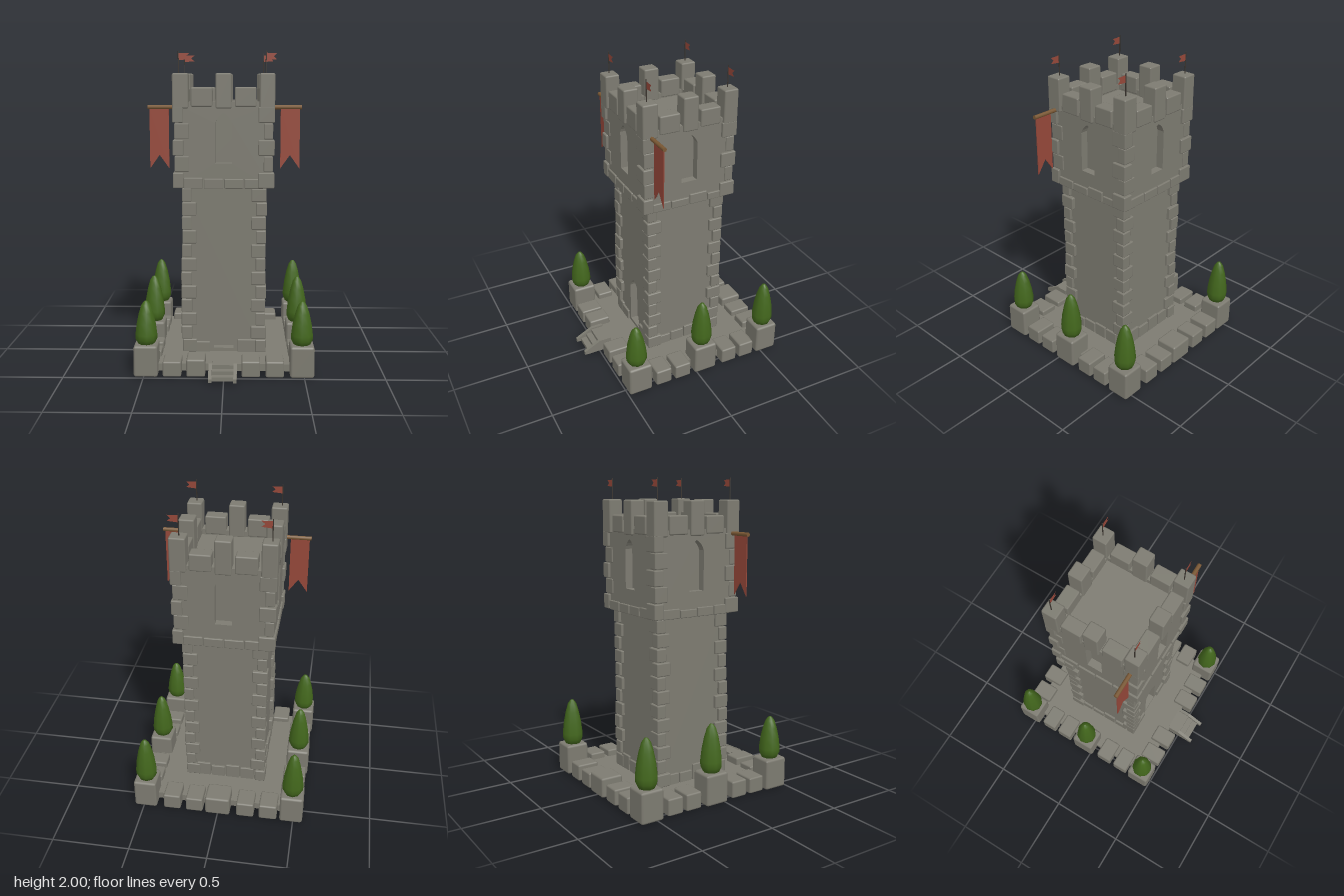
import * as THREE from 'three';
import { RoundedBoxGeometry } from 'three/addons/geometries/RoundedBoxGeometry.js';

const mat = (name, color, side = THREE.FrontSide) => {
  const m = new THREE.MeshStandardMaterial({ color, side });
  m.name = name;
  return m;
};

export function createModel() {
  const stone = mat('stone', 0x7d7b71);
  const leaf = mat('leaf', 0x42661c);
  const cloth = mat('cloth', 0x96483a, THREE.DoubleSide);
  const wood = mat('wood', 0x7a5834);
  const iron = mat('iron', 0x3a342e);

  const model = new THREE.Group();
  model.name = 'castleTower';
  const CX = -0.006, CZ = -0.053; // tower axis

  let seed = 7;
  const jitter = (a) => {
    seed = (seed * 16807) % 2147483647;
    return (seed / 2147483647 - 0.5) * 2 * a;
  };

  const add = (parent, name, geo, material, x = 0, y = 0, z = 0) => {
    const mesh = new THREE.Mesh(geo, material);
    mesh.name = name;
    mesh.position.set(x, y, z);
    parent.add(mesh);
    return mesh;
  };
  const group = (name, parent = model) => {
    const g = new THREE.Group();
    g.name = name;
    parent.add(g);
    return g;
  };
  // Worn stone block given by its limits
  const block = (parent, name, x0, x1, y0, y1, z0, z1) => {
    const w = x1 - x0, h = y1 - y0, d = z1 - z0;
    const geo = new RoundedBoxGeometry(w, h, d, 1, Math.min(w, h, d) * 0.1);
    return add(parent, name, geo, stone, (x0 + x1) / 2, (y0 + y1) / 2, (z0 + z1) / 2);
  };
  const box = (parent, name, x0, x1, y0, y1, z0, z1) =>
    add(parent, name, new THREE.BoxGeometry(x1 - x0, y1 - y0, z1 - z0), stone,
      (x0 + x1) / 2, (y0 + y1) / 2, (z0 + z1) / 2);

  // Base slab with its border of stones and pillars
  const base = group('base');
  box(base, 'baseSlab', -0.485, 0.49, 0.022, 0.068, -0.545, 0.425);
  for (const [x0, x1] of [[-0.38, -0.265], [-0.233, -0.116], [0.11, 0.225], [0.26, 0.373]])
    block(base, 'frontStone', x0, x1, 0.005, 0.11 + jitter(0.008), 0.345, 0.493);
  for (const [x0, x1] of [[-0.392, -0.275], [-0.24, -0.125], [0.1, 0.213], [0.25, 0.363]])
    block(base, 'backStone', x0, x1, 0.005, 0.11 + jitter(0.008), -0.615, -0.47);
  block(base, 'backMiddleStone', -0.08, 0.083, 0, 0.13, -0.617, -0.468);
  for (const [z0, z1] of [[-0.423, -0.316], [-0.29, -0.18], [0.06, 0.172], [0.2, 0.31]]) {
    block(base, 'rightStone', -0.552, -0.403, 0.005, 0.11 + jitter(0.008), z0, z1);
    block(base, 'leftStone', 0.412, 0.559, 0.005, 0.11 + jitter(0.008), z0 - 0.01, z1 - 0.01);
  }
  // Pillars topped with clipped trees
  const treeProfile = [[0, 0], [0.052, 0], [0.068, 0.035], [0.069, 0.07], [0.06, 0.15],
    [0.045, 0.225], [0.029, 0.28], [0.012, 0.305], [0, 0.31]].map(([r, y]) => new THREE.Vector2(r, y));
  for (const [z0, z1, h] of [[-0.615, -0.46, 0.31], [-0.143, 0.017, 0.31], [0.332, 0.492, 0.275]])
    for (const s of [-1, 1]) {
      const x = s * 0.486;
      block(base, 'pillar', x - 0.075, x + 0.075, 0, 0.2, z0, z1);
      const tree = add(base, 'tree', new THREE.LatheGeometry(treeProfile, 9), leaf, x, 0.198, (z0 + z1) / 2);
      tree.scale.y = h / 0.31;
      tree.rotation.y = jitter(1);
    }

  // Entrance stairs with sloping cheeks
  const stairs = group('stairs');
  for (let i = 0; i < 3; i++)
    box(stairs, 'step', -0.076, 0.064, 0.018, 0.09 - i * 0.024, 0.415, 0.505 + i * 0.04);
  const cheek = new THREE.Shape([[0.42, 0.018], [0.613, 0.018], [0.613, 0.042], [0.5, 0.1], [0.42, 0.1]]
    .map(([a, b]) => new THREE.Vector2(a, b)));
  for (const x of [-0.072, 0.081]) {
    const geo = new THREE.ExtrudeGeometry(cheek, { depth: 0.021, bevelEnabled: false });
    add(stairs, 'cheek', geo, stone, x).rotation.y = -Math.PI / 2;
    stairs.children.at(-1).position.x = x;
    geo.scale(1, 1, 1);
  }

  // Wall panel, optionally pierced by a pointed opening
  const panel = (half, y0, y1, opening, depth) => {
    const shape = new THREE.Shape([[-half, y0], [half, y0], [half, y1], [-half, y1]]
      .map(([a, b]) => new THREE.Vector2(a, b)));
    if (opening) {
      const [w, b, spring, peak] = opening;
      const hole = new THREE.Path();
      hole.moveTo(-w, b).lineTo(-w, spring);
      hole.quadraticCurveTo(-w * 0.75, (spring + peak) / 2 + 0.01, 0, peak);
      hole.quadraticCurveTo(w * 0.75, (spring + peak) / 2 + 0.01, w, spring);
      hole.lineTo(w, b);
      hole.closePath();
      shape.holes.push(hole);
    }
    return new THREE.ExtrudeGeometry(shape, { depth, bevelEnabled: false, curveSegments: 4 });
  };

  const tower = group('tower');
  tower.position.set(CX, 0, CZ);
  box(tower, 'shaftCore', -0.2, 0.2, 0.05, 1.16, -0.2, 0.2);
  box(tower, 'upperCore', -0.25, 0.25, 1.155, 1.655, -0.25, 0.25);

  for (let side = 0; side < 4; side++) {
    const face = group('towerSide', tower);
    face.rotation.y = side * Math.PI / 2;
    const front = side === 0;

    // Walls with door and windows
    add(face, 'shaftWall', panel(0.25, 0.06, 1.16, front && [0.065, 0.09, 0.38, 0.455], 0.05), stone, 0, 0, 0.2);
    add(face, 'upperWall', panel(0.3, 1.157, 1.68, [0.053, 1.31, 1.56, 1.625], 0.05), stone, 0, 0, 0.25);

    // Stones along the foot of the shaft
    for (const x of [-0.15, -0.05, 0.05, 0.15]) {
      if (front && Math.abs(x) < 0.1) continue;
      const w = front ? 0.06 : 0.046;
      block(face, 'footStone', x - w, x + w, 0.06, 0.15 + jitter(0.02), 0.22, 0.264);
    }
    // Stones under the upper storey
    for (let i = 0; i < 4; i++) {
      const x = -0.19 + i * 0.127;
      block(face, 'corbelStone', x - 0.06, x + 0.06, 1.152, 1.21 + jitter(0.012), 0.26, 0.312);
    }

    // Alternating corner stones of the shaft
    const rows = 12, step = 1.085 / rows;
    for (let i = 0; i < rows; i++) {
      const y = 0.065 + i * step, o = 0.27 + jitter(0.005);
      const a = i % 2 ? 0.175 : 0.205, b = i % 2 ? 0.205 : 0.175;
      block(face, 'shaftCornerStone', a, o, y + 0.003, y + step - 0.003, b, o);
    }
    // Alternating corner stones of the upper storey
    for (let i = 0; i < 5; i++) {
      const y = 1.152 + i * 0.102, o = 0.315 + (i % 2 ? -0.008 : 0.002);
      const a = i % 2 ? 0.25 : 0.215, b = i % 2 ? 0.215 : 0.25;
      block(face, 'upperCornerStone', a, o, y + 0.003, y + 0.1, b, o);
    }

    // Battlements
    block(face, 'cornerMerlon', 0.222, 0.317, 1.65, 1.865, 0.217, 0.317);
    block(face, 'middleMerlon', -0.05, 0.05, 1.65, 1.865, 0.218, 0.315);
    for (const s of [-1, 1]) {
      block(face, 'lowMerlon', s * 0.136 - 0.067, s * 0.136 + 0.067, 1.66, 1.775 + jitter(0.008), 0.22, 0.31);
    }
    box(face, 'parapet', -0.29, 0.29, 1.65, 1.69, 0.225, 0.3);
  }

  // Swallow-tailed pennants on the four corners
  const pennant = new THREE.Shape([[0, 0], [0.066, 0.006], [0.046, 0.024], [0.066, 0.043], [0, 0.045]]
    .map(([a, b]) => new THREE.Vector2(a, b)));
  for (const x of [-0.285, 0.255])
    for (const z of [-0.322, 0.214]) {
      const g = group('cornerFlag');
      add(g, 'flagPole', new THREE.CylinderGeometry(0.0035, 0.0035, 0.16, 6), iron, x, 1.92, z);
      add(g, 'pennant', new THREE.ShapeGeometry(pennant), cloth, x, 1.943, z);
    }

  // Long banners hung from side poles
  const banner = new THREE.Shape([[-0.06, 0], [-0.06, -0.37], [0, -0.285], [0.06, -0.37], [0.06, 0]]
    .map(([a, b]) => new THREE.Vector2(a, b)));
  for (const s of [-1, 1]) {
    const g = group('sideBanner');
    const pole = add(g, 'bannerPole', new THREE.CylinderGeometry(0.013, 0.013, 0.2, 8), wood, s * 0.379, 1.657, 0.208);
    pole.rotation.z = Math.PI / 2;
    add(g, 'banner', new THREE.ExtrudeGeometry(banner, { depth: 0.006, bevelEnabled: false }), cloth,
      s * 0.408, 1.645, 0.206);
  }
  return model;
}
